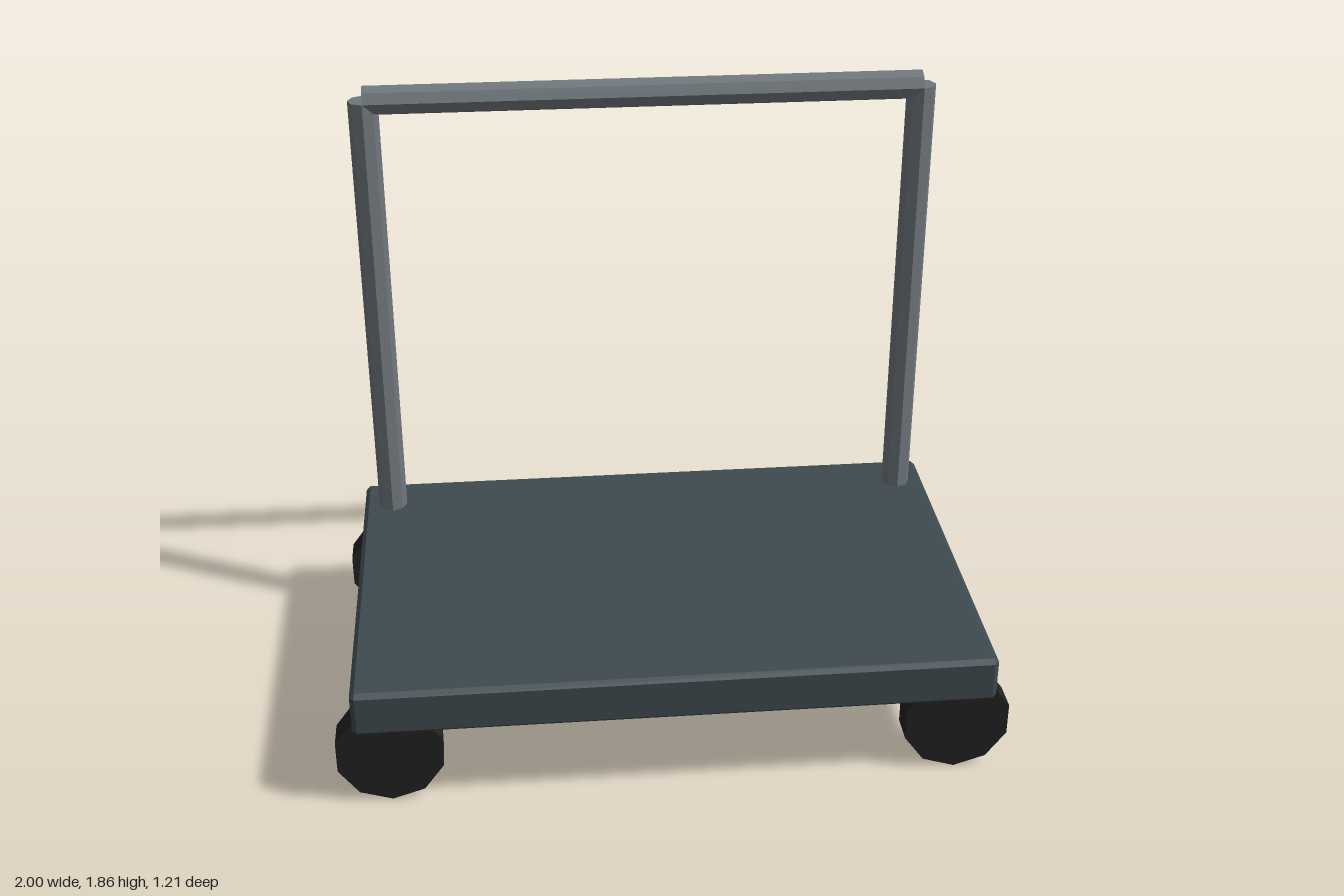
import * as THREE from 'three';
import { ConvexGeometry } from 'three/addons/geometries/ConvexGeometry.js';

const material = (name, color) => {
  const m = new THREE.MeshStandardMaterial({ color, flatShading: true });
  m.name = name;
  return m;
};

// Box with flat chamfers on every edge, from half sizes
function chamferedBox(hx, hy, hz, c) {
  const points = [];
  for (const x of [-1, 1]) for (const y of [-1, 1]) for (const z of [-1, 1]) {
    points.push(
      new THREE.Vector3(x * hx, y * (hy - c), z * (hz - c)),
      new THREE.Vector3(x * (hx - c), y * hy, z * (hz - c)),
      new THREE.Vector3(x * (hx - c), y * (hy - c), z * hz)
    );
  }
  return new ConvexGeometry(points);
}

export function createModel() {
  const group = new THREE.Group();
  group.name = 'platformTrolley';
  const slate = material('slate deck', 0x3f4a4f);
  const steel = material('grey steel', 0x70787d);
  const rubber = material('black rubber', 0x222222);

  const add = (name, geometry, mat, x, y, z) => {
    const mesh = new THREE.Mesh(geometry, mat);
    mesh.name = name;
    mesh.position.set(x, y, z);
    group.add(mesh);
    return mesh;
  };

  // Load platform
  add('deck', chamferedBox(0.943, 0.072, 0.603, 0.014), slate, 0, 0.345, 0);

  // Push handle: two octagonal posts and a crossbar
  const tube = 0.0455, handleZ = -0.465, handleTop = 1.815, deckInside = 0.38;
  const postHeight = handleTop - deckInside;
  const postGeometry = new THREE.CylinderGeometry(tube, tube, postHeight, 8);
  const wheelGeometry = new THREE.CylinderGeometry(0.163, 0.163, 0.09, 10).rotateX(Math.PI / 2);
  for (const [side, s] of [['left', 1], ['right', -1]]) {
    add(side + 'Post', postGeometry, steel, s * 0.848, deckInside + postHeight / 2, handleZ);
    // Ten-sided wheels under each corner
    add(side + 'FrontWheel', wheelGeometry, rubber, s * 0.845, 0.163, 0.505);
    add(side + 'RearWheel', wheelGeometry, rubber, s * 0.845, 0.163, -0.505);
  }
  const barGeometry = new THREE.CylinderGeometry(tube, tube, 1.696, 8).rotateZ(Math.PI / 2);
  add('handleBar', barGeometry, steel, 0, handleTop, handleZ);

  return group;
}
